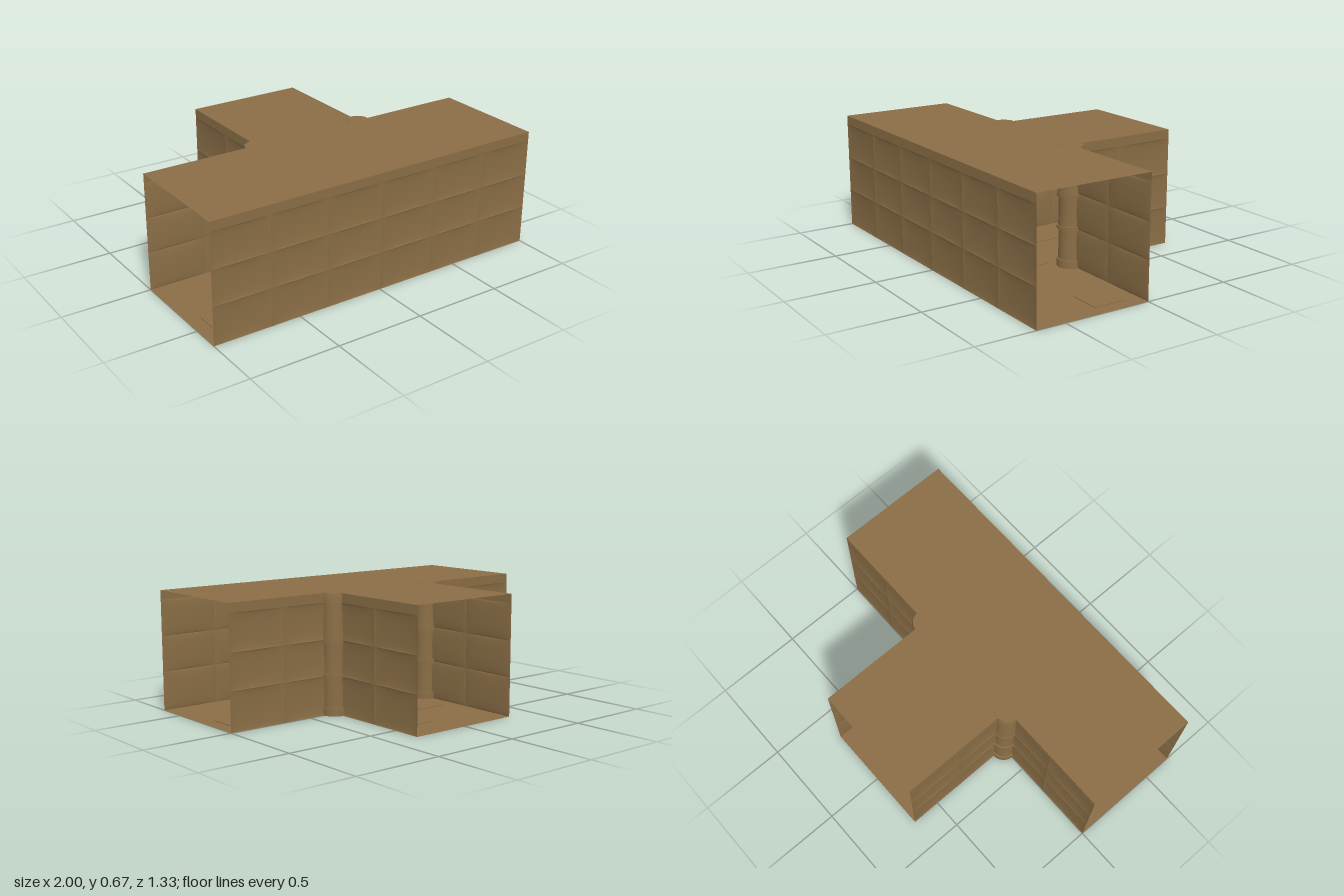
import * as THREE from 'three';
import { mergeGeometries } from 'three/addons/utils/BufferGeometryUtils.js';

const T = 1 / 3;                       // panel width, a third of a unit
const H = 0.665;                       // ceiling height
const ROWS = [0, 0.215, 0.413, 0.613]; // heights of the panel seams

const clay = new THREE.MeshStandardMaterial({ color: 0x8a6e46, side: THREE.DoubleSide });
clay.name = 'brown clay';

function add(parent, name, geometry) {
  const mesh = new THREE.Mesh(geometry, clay);
  mesh.name = name;
  parent.add(mesh);
  return mesh;
}

// One pillow-shaped panel, bulging to +z, with steep rims that read as seams
function panel(cx, y0, y1) {
  const g = new THREE.PlaneGeometry(2, 2, 12, 12);
  const p = g.attributes.position;
  for (let i = 0; i < p.count; i++) {
    const s = p.getX(i) * Math.PI / 2, t = p.getY(i) * Math.PI / 2;
    p.setXYZ(i,
      cx + Math.sin(s) * T / 2,
      (y0 + y1) / 2 + Math.sin(t) * (y1 - y0) / 2,
      0.008 * Math.max(0, Math.cos(s)) * Math.max(0, Math.cos(t)));
  }
  g.computeVertexNormals();
  return g;
}

// A run of panels three rows high with a flat trim and a narrow ledge above
function wall(parent, name, cols, x, z, turn) {
  const group = new THREE.Group();
  group.name = name;
  const panels = [];
  for (let c = 0; c < cols; c++)
    for (let r = 0; r < 3; r++)
      panels.push(panel((c - (cols - 1) / 2) * T, ROWS[r], ROWS[r + 1]));
  add(group, 'wallPanels', mergeGeometries(panels));
  const trim = add(group, 'wallTrim', new THREE.PlaneGeometry(cols * T, H - ROWS[3]));
  trim.position.y = (H + ROWS[3]) / 2;
  const ledge = add(group, 'trimLedge', new THREE.PlaneGeometry(cols * T, 0.004));
  ledge.rotation.x = Math.PI / 2;
  ledge.position.set(0, ROWS[3], 0.002);
  group.position.set(x, 0, z);
  group.rotation.y = turn;
  parent.add(group);
}

// T-shaped flat sheet at a given height
function sheet(parent, name, y) {
  const outline = [[-1, -2 * T], [1, -2 * T], [1, 0], [T, 0], [T, 2 * T], [-T, 2 * T], [-T, 0], [-1, 0]];
  const shape = new THREE.Shape(outline.map(([a, b]) => new THREE.Vector2(a, b)));
  const g = new THREE.ShapeGeometry(shape);
  g.rotateX(-Math.PI / 2);
  add(parent, name, g).position.y = y;
}

function lathe(parent, name, points) {
  add(parent, name, new THREE.LatheGeometry(points.map(([r, y]) => new THREE.Vector2(r, y)), 24));
}

// Round corner column: three shafts, a base, two rings and a cap
function column(parent, name, x) {
  const group = new THREE.Group();
  group.name = name;
  lathe(group, 'lowerShaft', [[0.066, 0.04], [0.065, 0.13], [0.066, 0.215]]);
  lathe(group, 'middleShaft', [[0.067, 0.228], [0.064, 0.31], [0.067, 0.395]]);
  lathe(group, 'upperShaft', [[0.072, 0.41], [0.067, 0.5], [0.064, 0.62]]);
  for (const [part, y0, y1] of [['base', 0, 0.043], ['lowerRing', 0.213, 0.23], ['upperRing', 0.394, 0.411]]) {
    lathe(group, part, [[0.075, y0], [0.075, y1]]);
    lathe(group, part + 'Top', [[0.075, y1], [0.06, y1]]);
    lathe(group, part + 'Underside', [[0.06, y0], [0.075, y0]]);
  }
  lathe(group, 'cap', [[0.071, 0.615], [0.07, 0.645], [0.064, 0.667]]);
  lathe(group, 'capTop', [[0.064, 0.667], [0, 0.667]]);
  lathe(group, 'capUnderside', [[0.062, 0.615], [0.071, 0.615]]);
  group.position.x = x;
  parent.add(group);
}

export function createModel() {
  const model = new THREE.Group();
  model.name = 'corridorJunction';

  sheet(model, 'floor', 0);
  sheet(model, 'ceiling', H);

  wall(model, 'frontWall', 6, 0, 2 * T, Math.PI);
  for (const [side, s] of [['left', 1], ['right', -1]]) {
    wall(model, side + 'BackWall', 2, s * 2 * T, 0, 0);
    wall(model, side + 'BranchWall', 2, s * T, -T, -s * Math.PI / 2);
    column(model, side + 'Column', s * T);
  }

  // Thin raised paving slabs along the floor
  const slab = new THREE.BoxGeometry(0.18, 0.004, 0.18);
  const spots = [[0.15, -0.39], [-0.17, -0.15]];
  for (let i = 0; i < 6; i++) spots.push([(i - 2.5) * T, i % 2 ? 0.18 : 0.48]);
  for (const [x, z] of spots) add(model, 'floorSlab', slab).position.set(x, 0.002, z);

  return model;
}
